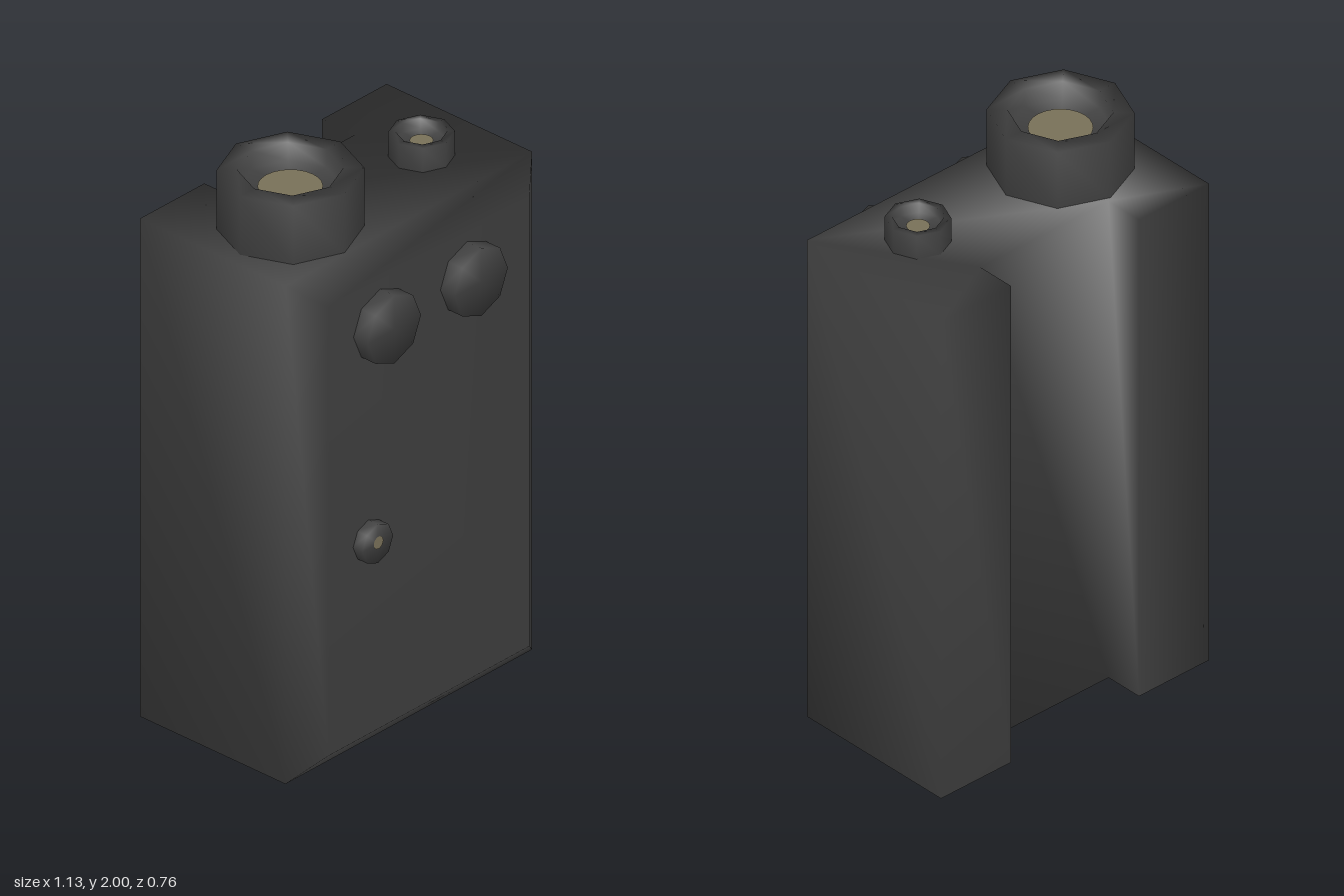
import * as THREE from 'three';
import { mergeVertices } from 'three/addons/utils/BufferGeometryUtils.js';

const dark = new THREE.MeshStandardMaterial({ color: 0x3e3e3e });
dark.name = 'charcoal';
const tan = new THREE.MeshStandardMaterial({ color: 0x787058 });
tan.name = 'tan';

// Weld vertices so the shading runs softly over the edges
function soften(geo) {
  geo.deleteAttribute('normal');
  geo.deleteAttribute('uv');
  const welded = mergeVertices(geo, 1e-4);
  welded.computeVertexNormals();
  return welded;
}

function part(name, geo, material) {
  const mesh = new THREE.Mesh(geo, material);
  mesh.name = name;
  return mesh;
}

// Eight-sided turned part
function turned(name, profile) {
  const points = profile.map(([r, y]) => new THREE.Vector2(r, y));
  return part(name, soften(new THREE.LatheGeometry(points, 8)), dark);
}

// U-shaped case with a channel down the back and a bevelled front
function caseGeometry() {
  const H = 1.79;
  const outline = [
    [-0.565, -0.38], [-0.27, -0.38], [-0.27, -0.24], [0.27, -0.24], [0.27, -0.38],
    [0.565, -0.38], [0.565, 0.235], [0.46, 0.32], [-0.46, 0.32], [-0.565, 0.235],
  ];
  const caps = [[0, 1, 2], [0, 2, 9], [2, 3, 6], [2, 6, 9], [3, 4, 5], [3, 5, 6], [6, 7, 8], [6, 8, 9]];
  const n = outline.length;
  const positions = [];
  const index = [];
  for (const top of [false, true]) {
    for (const [x, z] of outline) {
      const bevel = z > 0.3 ? 0.09 : 0;
      positions.push(x, top ? H - bevel : bevel, z);
    }
  }
  for (let i = 0; i < n; i++) {
    const j = (i + 1) % n;
    index.push(i, i + n, j + n, i, j + n, j);
  }
  for (const [a, b, c] of caps) index.push(a, b, c, a + n, c + n, b + n);
  const geo = new THREE.BufferGeometry();
  geo.setAttribute('position', new THREE.Float32BufferAttribute(positions, 3));
  geo.setIndex(index);
  geo.computeVertexNormals();
  return geo;
}

// Hollow socket on the top, with a tan disc on its floor
function socket(name, x, r, inner, height, depth, discRadius) {
  const group = new THREE.Group();
  group.name = name;
  const floor = height - depth;
  group.add(turned(name + 'Wall', [[r, -0.005], [r, height], [inner, height], [inner, floor], [0, floor]]));
  const disc = part(name + 'Disc', new THREE.CircleGeometry(discRadius, 24), tan);
  disc.rotation.x = -Math.PI / 2;
  disc.position.y = floor + 0.004;
  group.add(disc);
  group.position.set(x, 1.79, 0);
  return group;
}

// Octagonal button on the front
function button(name, x, y, r, depth) {
  const mesh = turned(name, [[r, -0.005], [r, depth], [0, depth]]);
  mesh.rotation.x = Math.PI / 2;
  mesh.position.set(x, y, 0.32);
  return mesh;
}

export function createModel() {
  const model = new THREE.Group();
  model.name = 'handheldDevice';
  model.add(part('case', caseGeometry(), dark));

  // Top sockets
  model.add(socket('largeSocket', -0.288, 0.23, 0.165, 0.21, 0.065, 0.102));
  model.add(socket('smallSocket', 0.313, 0.104, 0.08, 0.087, 0.035, 0.037));

  // Front controls
  model.add(button('rightButton', -0.223, 1.545, 0.122, 0.06));
  model.add(button('leftButton', 0.175, 1.545, 0.122, 0.06));
  model.add(button('smallButton', -0.277, 0.79, 0.07, 0.04));
  const light = part('indicatorDot', new THREE.CircleGeometry(0.022, 16), tan);
  light.position.set(-0.277, 0.795, 0.363);
  model.add(light);
  return model;
}
